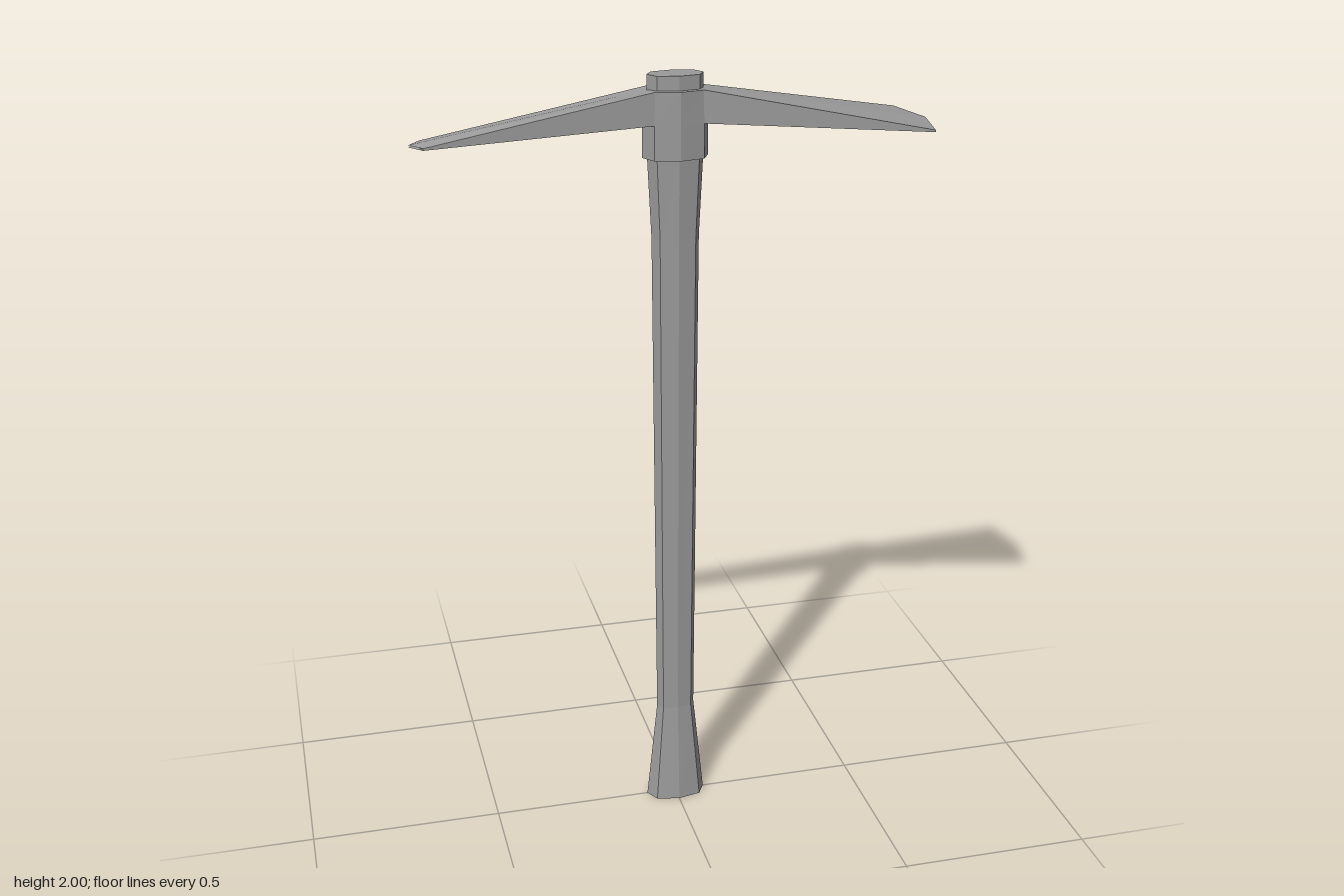
import * as THREE from 'three';

const material = new THREE.MeshStandardMaterial({ color: 0x9b9b9b, flatShading: true });

// Skin a series of rings (each a loop, counter-clockwise seen from the far end) and cap both ends
function loft(name, rings) {
  const pos = [];
  const tri = (a, b, c) => pos.push(...a, ...b, ...c);
  const n = rings[0].length;
  for (let r = 0; r < rings.length - 1; r++) {
    const a = rings[r], b = rings[r + 1];
    for (let i = 0; i < n; i++) {
      const j = (i + 1) % n;
      tri(a[i], a[j], b[j]);
      tri(a[i], b[j], b[i]);
    }
  }
  const first = rings[0], last = rings[rings.length - 1];
  const middle = (ring) => [0, 1, 2].map((k) => ring.reduce((s, p) => s + p[k], 0) / n);
  const m0 = middle(first), m1 = middle(last);
  for (let i = 0; i < n; i++) {
    const j = (i + 1) % n;
    tri(m0, first[j], first[i]);
    tri(m1, last[i], last[j]);
  }
  const geometry = new THREE.BufferGeometry();
  geometry.setAttribute('position', new THREE.Float32BufferAttribute(pos, 3));
  geometry.computeVertexNormals();
  const mesh = new THREE.Mesh(geometry, material);
  mesh.name = name;
  return mesh;
}

// Flattened eight-sided ring at height y; shoulder places the corners along x
function octagon([y, rx, rz, shoulder = 0.75]) {
  const sx = shoulder * rx, sz = 0.74 * rz;
  return [
    [rx, y, 0], [sx, y, -sz], [0, y, -rz], [-sx, y, -sz],
    [-rx, y, 0], [-sx, y, sz], [0, y, rz], [sx, y, sz],
  ];
}

// Six-point blade section: corners at x, middle at xMid
function section(side, x, xMid, top, bottom, halfZ) {
  const ring = [
    [side * x, top, -halfZ], [side * xMid, top, 0], [side * x, top, halfZ],
    [side * x, bottom, halfZ], [side * xMid, bottom, 0], [side * x, bottom, -halfZ],
  ];
  return side > 0 ? ring : ring.reverse();
}

// Wedge reaching out from the collar, thinning to a pointed edge
function blade(name, side, tipHalfZ) {
  return loft(name, [
    section(side, 0.06, 0.06, 1.965, 1.885, 0.043),
    section(side, 0.61, 0.64, 1.862, 1.857, tipHalfZ),
  ]);
}

export function createModel() {
  const model = new THREE.Group();
  model.name = 'pickaxe';

  // Handle with a flared foot, its end poking through the head
  model.add(loft('handle', [
    [0, 0.08, 0.048], [0.28, 0.051, 0.029], [1.6, 0.06, 0.038], [1.8, 0.07, 0.042], [2, 0.07, 0.042],
  ].map(octagon)));

  // Head: collar narrowing to meet the blade roots, broad blade and narrow pick
  const head = new THREE.Group();
  head.name = 'head';
  head.add(loft('collar', [
    [1.8, 0.082, 0.058], [1.885, 0.082, 0.058], [1.965, 0.06, 0.058, 1],
  ].map(octagon)));
  head.add(blade('broadBlade', 1, 0.147));
  head.add(blade('narrowPick', -1, 0.043));
  model.add(head);
  return model;
}
